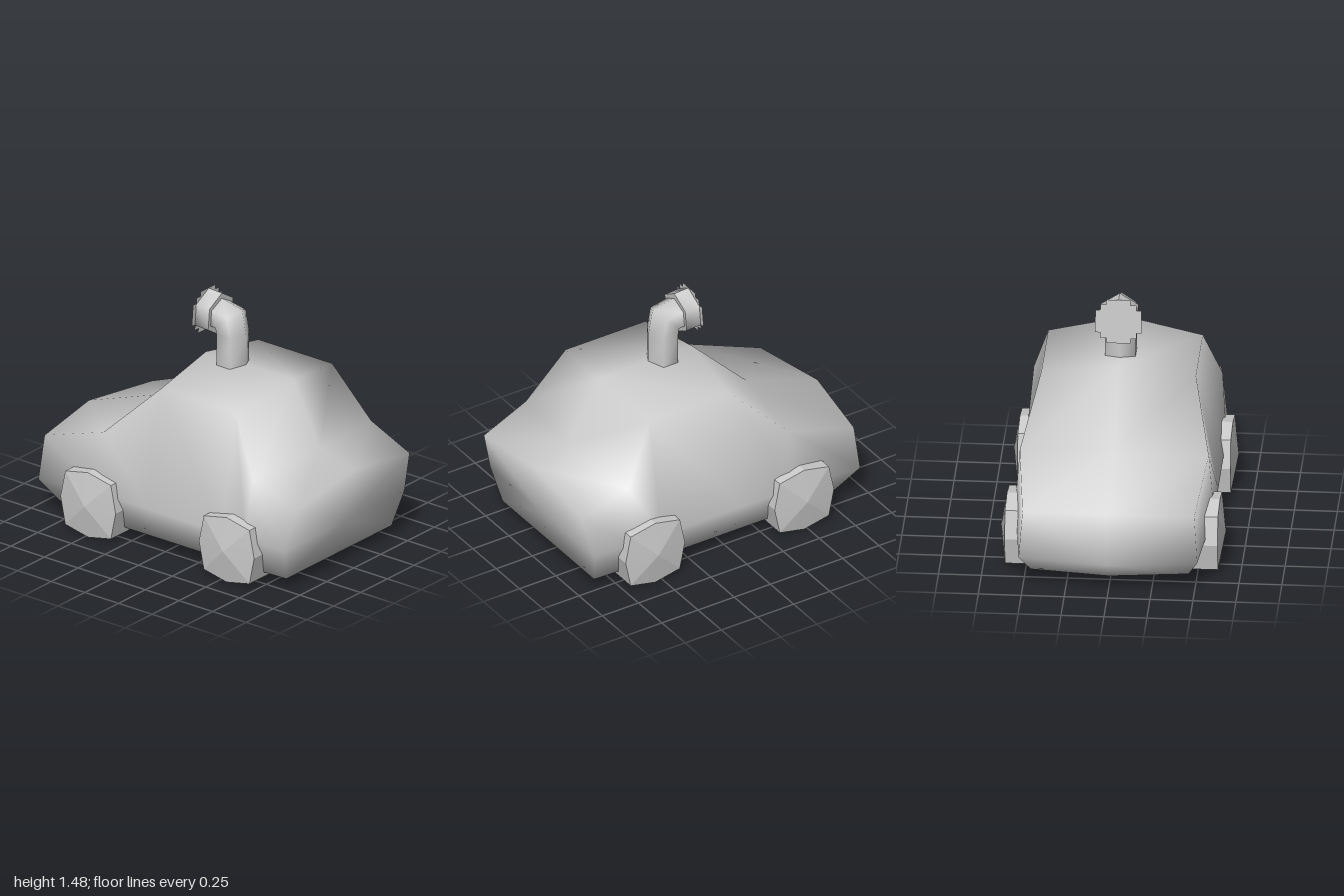
import * as THREE from 'three';
import { toCreasedNormals } from 'three/addons/utils/BufferGeometryUtils.js';

// Skins a row of equal-length rings; optional centre points close the ends.
function loft(rings, crease, startCentre, endCentre) {
  const n = rings[0].length, last = (rings.length - 1) * n;
  const points = rings.flat(), index = [];
  for (let r = 0; r < rings.length - 1; r++) {
    for (let i = 0; i < n; i++) {
      const a = r * n + i, b = r * n + (i + 1) % n;
      index.push(a, b, b + n, a, b + n, a + n);
    }
  }
  if (startCentre) {
    const c = points.push(startCentre) - 1;
    for (let i = 0; i < n; i++) index.push(c, (i + 1) % n, i);
  }
  if (endCentre) {
    const c = points.push(endCentre) - 1;
    for (let i = 0; i < n; i++) index.push(c, last + i, last + (i + 1) % n);
  }
  const geo = new THREE.BufferGeometry();
  geo.setAttribute('position', new THREE.Float32BufferAttribute(points.flat(), 3));
  geo.setIndex(index);
  geo.computeVertexNormals();
  return crease ? toCreasedNormals(geo, crease) : geo;
}

// Six-sided ring centred on (cx, cy), with its corner along (ux, uy).
function hexRing(cx, cy, ux, uy, r) {
  return Array.from({ length: 6 }, (_, i) => {
    const a = i * Math.PI / 3, c = Math.cos(a);
    return [cx + ux * c, cy + uy * c, -r * Math.sin(a)];
  });
}

export function createModel() {
  const model = new THREE.Group();
  model.name = 'periscopeCar';
  const grey = new THREE.MeshStandardMaterial({ color: 0xcccccc });
  const doubleGrey = new THREE.MeshStandardMaterial({ color: 0xcccccc, side: THREE.DoubleSide });
  const add = (name, geo, material = grey) => {
    const mesh = new THREE.Mesh(geo, material);
    mesh.name = name;
    model.add(mesh);
    return mesh;
  };

  // Body stations, nose to tail: top centre, shoulder, waist, sill, bottom centre
  const stations = [
    [[-0.97, 0.52, 0], [-0.90, 0.49, 0.50], [-0.93, 0.21, 0.52], [-0.80, 0.075, 0.46], [-0.86, 0.075, 0]],
    [[-0.48, 0.69, 0], [-0.42, 0.66, 0.55], [-0.40, 0.28, 0.58], [-0.40, 0.07, 0.50], [-0.40, 0.07, 0]],
    [[-0.10, 1.07, 0], [-0.07, 1.00, 0.45], [-0.07, 0.28, 0.58], [-0.07, 0.07, 0.50], [-0.07, 0.07, 0]],
    [[0.55, 1.07, 0], [0.48, 1.00, 0.45], [0.48, 0.28, 0.58], [0.48, 0.07, 0.50], [0.48, 0.07, 0]],
    [[0.75, 0.69, 0], [0.69, 0.66, 0.55], [0.65, 0.28, 0.575], [0.65, 0.07, 0.50], [0.65, 0.07, 0]],
    [[1.00, 0.62, 0], [1.00, 0.55, 0.52], [0.93, 0.28, 0.56], [0.89, 0.07, 0.49], [0.89, 0.07, 0]],
  ];
  const rings = stations.map(s => [
    ...s, ...s.slice(1, 4).reverse().map(([x, y, z]) => [x, y, -z]),
  ]);
  add('body', loft(rings, 0, [-1, 0.21, 0], [0.94, 0.28, 0]));

  // Wheels: squarish octagons with a shallow cone on the outer face
  const wheelRing = z => Array.from({ length: 8 }, (_, i) => {
    const a = i * Math.PI / 4, r = i % 2 ? 0.24 : 0.205;
    return [r * Math.cos(a), r * Math.sin(a), z];
  });
  const wheelGeo = loft([wheelRing(0.41), wheelRing(0.62)], 0.1, [0, 0, 0.41], [0, 0, 0.655]);
  for (const side of [1, -1]) {
    for (const [name, x] of [['frontWheel', -0.48], ['rearWheel', 0.55]]) {
      const wheel = add(name, wheelGeo);
      wheel.position.set(x, 0.205, 0);
      wheel.rotation.y = side > 0 ? 0 : Math.PI;
    }
  }

  // Periscope pipe, bending towards the nose
  add('periscopePipe', loft([
    hexRing(0.10, 1.03, 0.10, 0, 0.103),
    hexRing(0.10, 1.25, 0.10, 0, 0.103),
    hexRing(0.085, 1.33, 0.085, 0.08, 0.103),
    hexRing(0.01, 1.342, 0.01, 0.10, 0.103),
  ], 0), doubleGrey);

  // Wider collar on the pipe's end
  add('periscopeCollar', loft([
    hexRing(0.01, 1.34, 0.01, 0.135, 0.127),
    hexRing(-0.088, 1.345, 0.01, 0.135, 0.127),
  ], 1.1, [0.01, 1.34, 0], [-0.088, 1.345, 0]));

  // Thin stepped disc over the mouth
  const steps = [[0.135, 0.07], [0.105, 0.07], [0.105, 0.105], [0.07, 0.105], [0.07, 0.135]];
  const outline = [];
  for (let q = 0; q < 4; q++) {
    for (const [x, y] of steps) {
      outline.push(new THREE.Vector2(x, y).rotateAround(new THREE.Vector2(), q * Math.PI / 2));
    }
  }
  const discGeo = new THREE.ShapeGeometry(new THREE.Shape(outline));
  discGeo.rotateY(-Math.PI / 2);
  const disc = add('periscopeLens', discGeo, doubleGrey);
  disc.position.set(-0.092, 1.345, 0);
  disc.rotation.z = -0.074;

  return model;
}
